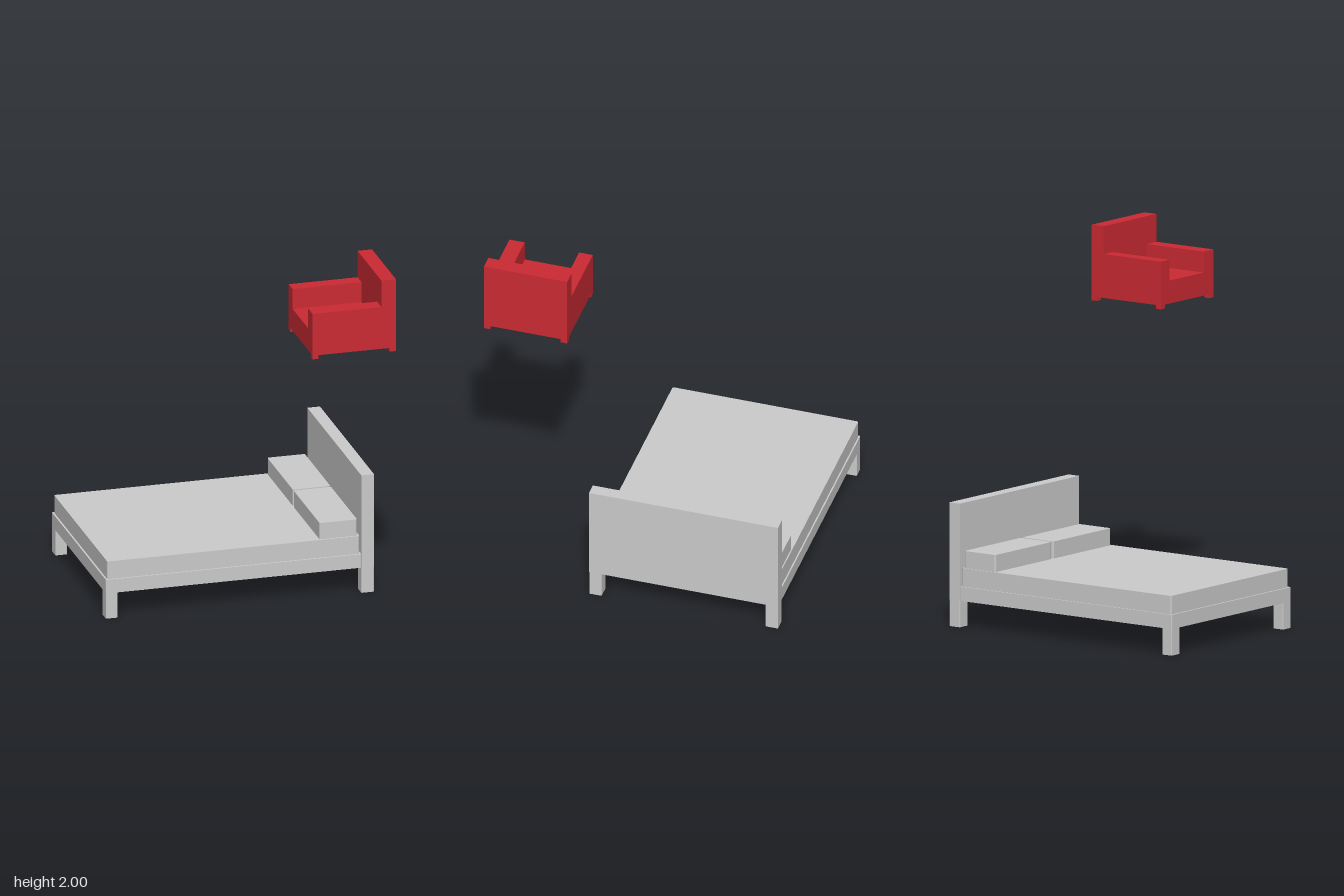
import * as THREE from 'three';

const grey = new THREE.MeshStandardMaterial({ color: 0xcccccc });
const red = new THREE.MeshStandardMaterial({ color: 0xcc2a33 });

// Box given by its limits on each axis
function block(parent, name, material, [x0, x1], [y0, y1], [z0, z1]) {
  const mesh = new THREE.Mesh(new THREE.BoxGeometry(x1 - x0, y1 - y0, z1 - z0), material);
  mesh.position.set((x0 + x1) / 2, (y0 + y1) / 2, (z0 + z1) / 2);
  mesh.name = name;
  parent.add(mesh);
}

// Slab with rounded upright edges
function slab(parent, name, material, [x0, x1], [y0, y1], [z0, z1], r = 0.01) {
  const s = new THREE.Shape();
  s.moveTo(x0 + r, -z1);
  s.lineTo(x1 - r, -z1);
  s.absarc(x1 - r, -z1 + r, r, -Math.PI / 2, 0);
  s.absarc(x1 - r, -z0 - r, r, 0, Math.PI / 2);
  s.absarc(x0 + r, -z0 - r, r, Math.PI / 2, Math.PI);
  s.absarc(x0 + r, -z1 + r, r, Math.PI, Math.PI * 1.5);
  const geo = new THREE.ExtrudeGeometry(s, { depth: y1 - y0, bevelEnabled: false, curveSegments: 4 });
  geo.rotateX(-Math.PI / 2).translate(0, y0, 0);
  const mesh = new THREE.Mesh(geo, material);
  mesh.name = name;
  parent.add(mesh);
}

function createBed() {
  const bed = new THREE.Group();
  bed.name = 'bed';
  slab(bed, 'bedFrame', grey, [-0.74, 0.67], [0.143, 0.22], [-0.825, 0.225], 0.006);
  block(bed, 'headboard', grey, [0.67, 0.74], [0.143, 0.667], [-0.825, 0.225]);
  for (const x of [[-0.74, -0.675], [0.67, 0.74]])
    for (const z of [[-0.825, -0.755], [0.155, 0.225]])
      slab(bed, 'bedLeg', grey, x, [0, 0.143], z, 0.005);
  slab(bed, 'mattress', grey, [-0.73, 0.663], [0.22, 0.32], [-0.817, 0.215]);
  for (const z of [[-0.81, -0.315], [-0.3, 0.205]])
    slab(bed, 'pillow', grey, [0.445, 0.652], [0.32, 0.412], z);
  return bed;
}

function createArmchair() {
  const chair = new THREE.Group();
  chair.name = 'armchair';
  block(chair, 'chairSeat', red, [0.23, 0.61], [1.613, 1.737], [0.438, 0.74]);
  block(chair, 'chairBack', red, [0.61, 0.69], [1.613, 2], [0.362, 0.825]);
  for (const z of [[0.362, 0.438], [0.74, 0.825]])
    block(chair, 'chairArm', red, [0.23, 0.61], [1.613, 1.85], z);
  for (const x of [[0.23, 0.262], [0.655, 0.69]])
    for (const z of [[0.362, 0.398], [0.79, 0.825]])
      block(chair, 'chairFoot', red, x, [1.592, 1.613], z);
  return chair;
}

export function createModel() {
  const model = new THREE.Group();
  model.name = 'bedAndArmchair';
  model.add(createBed(), createArmchair());
  return model;
}
